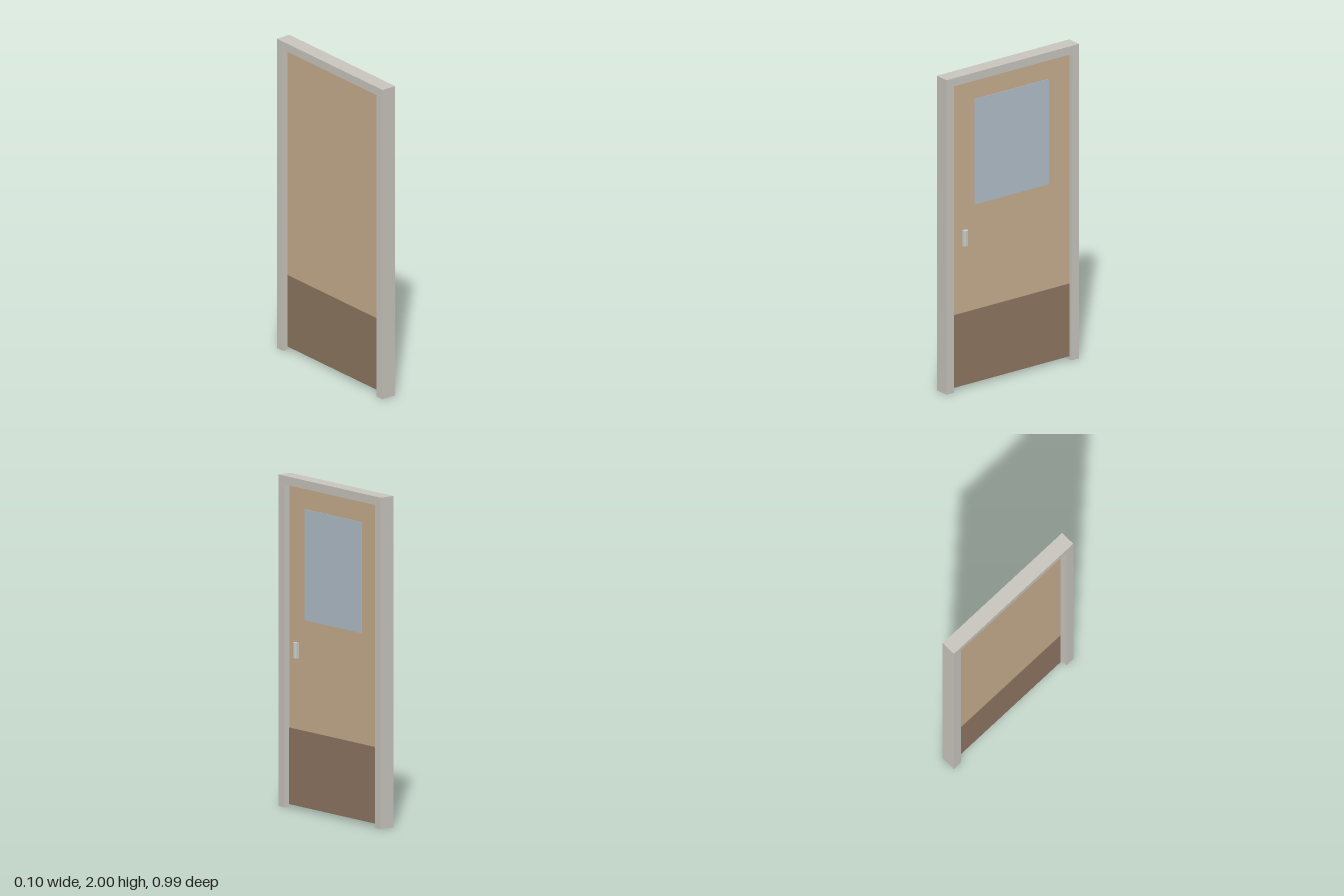
import * as THREE from 'three';

const material = (name, color) => new THREE.MeshStandardMaterial({ name, color });

export function createModel() {
  const group = new THREE.Group();
  const frameGrey = material('frame grey', 0xc8c5bd);
  const wood = material('light wood', 0xc7ae8e);
  const kickBrown = material('kick plate brown', 0x8e7661);
  const glass = material('pale blue glass', 0xb1bfca);
  const metal = material('handle metal', 0xc8c8c4);

  const add = (name, geometry, mat) => {
    const mesh = new THREE.Mesh(geometry, mat);
    mesh.name = name;
    group.add(mesh);
    return mesh;
  };

  // Box given by its lower and upper corners
  const addBox = (name, mat, [x0, y0, z0], [x1, y1, z1]) =>
    add(name, new THREE.BoxGeometry(x1 - x0, y1 - y0, z1 - z0), mat)
      .position.set((x0 + x1) / 2, (y0 + y1) / 2, (z0 + z1) / 2);

  // Door frame: two jambs and a header in one outline, open at the floor
  const outer = 0.497, inner = 0.44, headroom = 1.948;
  const outline = new THREE.Shape([
    [-outer, 0], [-inner, 0], [-inner, headroom], [inner, headroom],
    [inner, 0], [outer, 0], [outer, 2], [-outer, 2],
  ].map(([x, y]) => new THREE.Vector2(x, y)));
  const frame = new THREE.ExtrudeGeometry(outline, { depth: 0.095, bevelEnabled: false });
  frame.rotateY(Math.PI / 2).translate(-0.051, 0, 0);
  add('doorFrame', frame, frameGrey);

  // Door leaf hung on the -z jamb, with a slim gap on the latch side
  addBox('doorLeaf', wood, [-0.015, 0.482, -0.44], [0.02, headroom, 0.424]);
  addBox('kickPlate', kickBrown, [-0.018, 0.02, -0.44], [0.023, 0.482, 0.424]);
  addBox('windowPane', glass, [0.018, 1.15, -0.285], [0.023, 1.82, 0.27]);

  // Upright pull handle with chamfered front edges
  const section = new THREE.Shape([
    [0, -0.016], [0.018, -0.016], [0.029, -0.008],
    [0.029, 0.008], [0.018, 0.016], [0, 0.016],
  ].map(([x, y]) => new THREE.Vector2(x, y)));
  const handle = new THREE.ExtrudeGeometry(section, { depth: 0.096, bevelEnabled: false });
  handle.rotateX(-Math.PI / 2);
  add('handle', handle, metal).position.set(0.018, 0.911, 0.347);

  return group;
}
